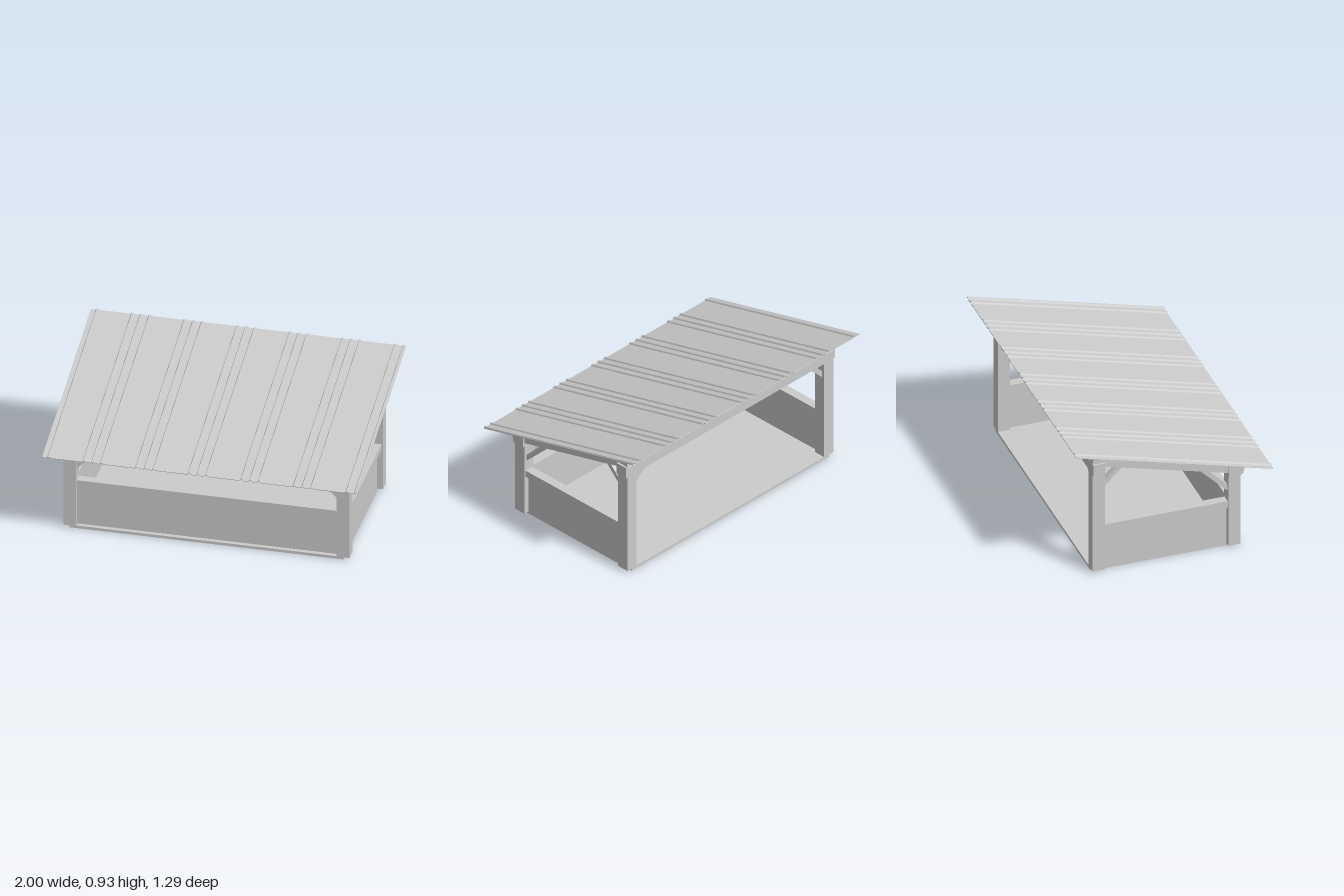
import * as THREE from 'three';

const material = new THREE.MeshStandardMaterial({ color: 0xcccccc, flatShading: true });
const PITCH = Math.atan(0.344 / 1.29);
const FRONT_Z = 0.425, BACK_Z = -0.465, POST_X = 0.867, POST = 0.08;

export function createModel() {
  const model = new THREE.Group();
  model.name = 'openShelter';

  const add = (name, geometry) => {
    const mesh = new THREE.Mesh(geometry, material);
    mesh.name = name;
    model.add(mesh);
    return mesh;
  };
  // Box given by its lower and upper limits on each axis
  const box = (name, [x0, x1], [y0, y1], [z0, z1]) => {
    const mesh = add(name, new THREE.BoxGeometry(x1 - x0, y1 - y0, z1 - z0));
    mesh.position.set((x0 + x1) / 2, (y0 + y1) / 2, (z0 + z1) / 2);
    return mesh;
  };
  const around = (c, width) => [c - width / 2, c + width / 2];
  // Outline extruded symmetrically about its own plane
  const slab = (points, depth) => {
    const shape = new THREE.Shape(points.map(([x, y]) => new THREE.Vector2(x, y)));
    return new THREE.ExtrudeGeometry(shape, { depth, bevelEnabled: false }).translate(0, 0, -depth / 2);
  };

  // Floor and the three low walls; the back stays open
  box('floor', [-0.87, 0.87], [0, 0.018], [-0.505, 0.463]);
  box('frontWall', [-0.84, 0.84], [0.018, 0.29], around(FRONT_Z, 0.02));
  box('frontRail', [-0.83, 0.83], [0.288, 0.334], around(FRONT_Z, 0.06));
  for (const s of [-1, 1]) {
    box('sideWall', around(s * 0.86, 0.02), [0.018, 0.29], [-0.44, 0.4]);
    box('sideRail', around(s * POST_X, 0.06), [0.288, 0.334], [-0.427, 0.387]);
  }

  // Posts, beams and the braces along the beams
  for (const [z, top] of [[FRONT_Z, 0.52], [BACK_Z, 0.715]]) {
    box('beam', [-0.92, 0.92], [top, top + 0.077], around(z, POST));
    for (const s of [-1, 1]) {
      box('post', around(s * POST_X, POST), [0.016, top], around(z, POST));
      const outline = [[0.83, top - 0.11], [0.83, top - 0.065], [0.765, top], [0.72, top]];
      add('beamBrace', slab(outline.map(([x, y]) => [s * x, y]), 0.04)).position.z = z;
    }
  }

  // Braces from the posts up to the end rafters, outlined in z and y
  const sideBraces = [
    [[0.387, 0.403], [0.387, 0.447], [0.245, 0.589], [0.192, 0.598]],
    [[-0.427, 0.6], [-0.427, 0.642], [-0.337, 0.732], [-0.3, 0.727]],
  ];
  for (const s of [-1, 1]) {
    for (const outline of sideBraces) {
      add('rafterBrace', slab(outline, 0.04).rotateY(-Math.PI / 2)).position.x = s * POST_X;
    }
  }

  // Sloping rafters
  const depth = 0.096;
  for (const x of [-POST_X, -0.42, 0.022, 0.465, POST_X]) {
    const rafter = add('rafter', new THREE.BoxGeometry(POST, depth, 1.025));
    rafter.rotation.x = PITCH;
    rafter.position.set(x, 0.744 - (depth / 2) * Math.cos(PITCH), 0.01 - (depth / 2) * Math.sin(PITCH));
  }

  // Sheet roof with raised ribs in groups of three
  const profile = [[-1, 0]];
  for (let group = 0; group < 7; group++) {
    for (const offset of [-0.055, 0, 0.055]) {
      const x = -1.012 + group * 0.3337 + offset;
      if (x < -0.99 || x > 0.995) continue;
      profile.push([x - 0.011, 0], [x - 0.006, 0.009], [x + 0.006, 0.009], [Math.min(x + 0.011, 1), 0]);
    }
  }
  if (profile[profile.length - 1][0] < 0.9999) profile.push([1, 0]);
  const underside = profile.map(([x, y]) => [x, y - 0.004]).reverse();
  const roof = add('roofSheet', slab([...profile, ...underside], 1.29 / Math.cos(PITCH)));
  roof.rotation.x = PITCH;
  roof.position.y = 0.751;

  return model;
}
